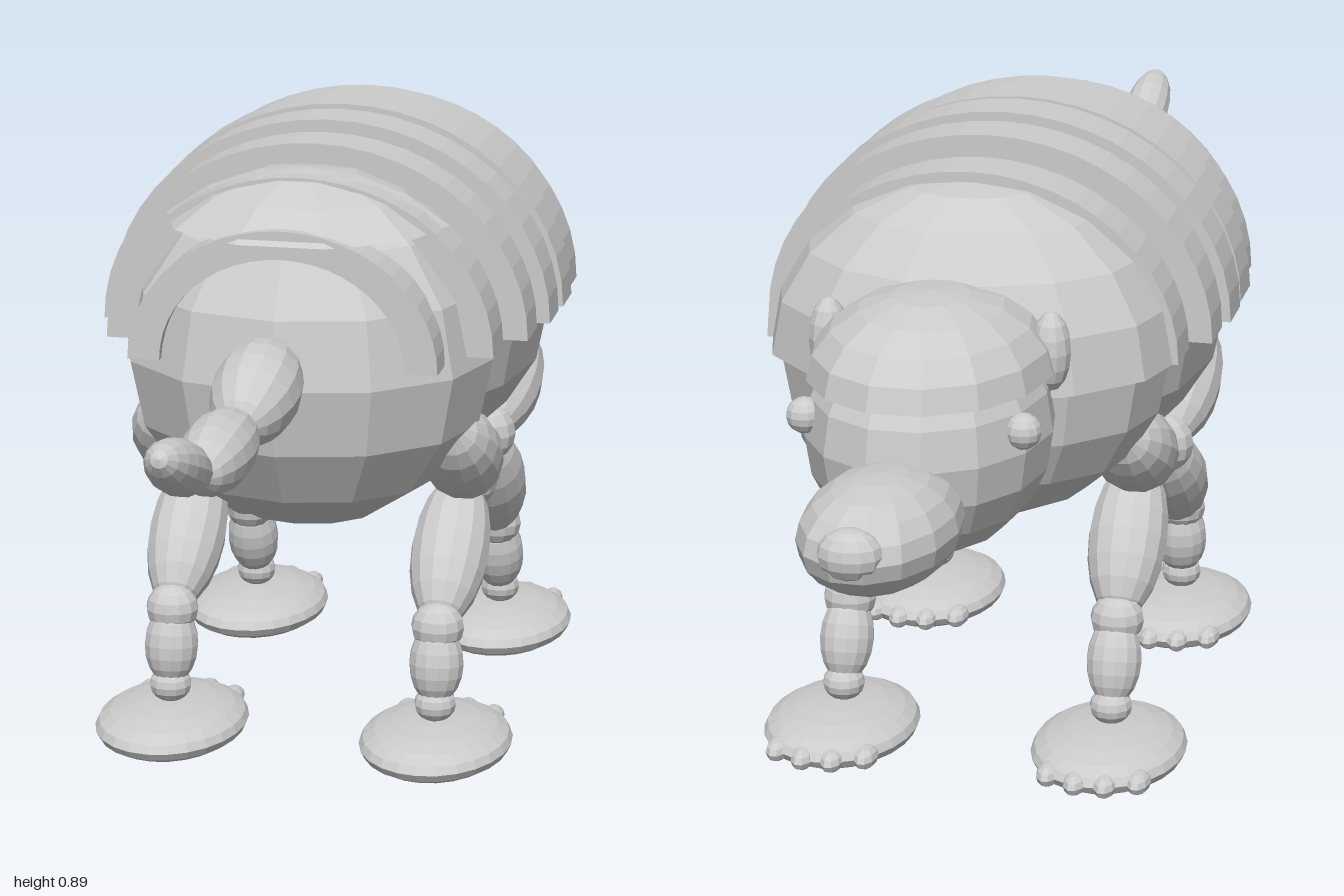
import * as THREE from 'three';

export function createModel() {
  const model = new THREE.Group();
  model.name = 'armadillo';
  const grey = new THREE.MeshStandardMaterial({ color: 0xcccccc, flatShading: true, side: THREE.DoubleSide });
  grey.name = 'light grey';

  const add = (name, geo, pos, scale = [1, 1, 1]) => {
    const mesh = new THREE.Mesh(geo, grey);
    mesh.name = name;
    mesh.position.set(...pos);
    mesh.scale.set(...scale);
    model.add(mesh);
    return mesh;
  };
  const ellipsoid = (name, pos, radii, w = 16, h = 10) =>
    add(name, new THREE.SphereGeometry(1, w, h), pos, radii);
  // upper part of an ellipsoid, used for shell domes
  const dome = (name, pos, radii, angle = Math.PI / 2, w = 16, h = 5) =>
    add(name, new THREE.SphereGeometry(1, w, h, 0, Math.PI * 2, 0, angle), pos, radii);
  // ellipsoid stretched between two points
  const bone = (name, a, b, r) => {
    const p = new THREE.Vector3(...a), q = new THREE.Vector3(...b);
    const d = q.clone().sub(p), half = d.length() / 2;
    const mesh = ellipsoid(name, p.add(q).multiplyScalar(0.5).toArray(), [r, half, r], 14, 10);
    mesh.quaternion.setFromUnitVectors(new THREE.Vector3(0, 1, 0), d.normalize());
    return mesh;
  };

  // body
  ellipsoid('hips', [0, 0.59, 0.17], [0.262, 0.248, 0.235], 12, 8);
  ellipsoid('belly', [0, 0.605, -0.06], [0.3, 0.24, 0.42], 16, 10);
  ellipsoid('shoulders', [0, 0.605, -0.32], [0.27, 0.23, 0.22], 14, 10);
  dome('shoulderShield', [0, 0.61, -0.32], [0.285, 0.24, 0.228], Math.PI / 2, 14, 5);
  dome('rumpShield', [0, 0.61, 0.18], [0.28, 0.243, 0.252], 0.8, 10, 3);

  // shell bands: [z, half width]
  const bands = [[-0.302, 0.287], [-0.2, 0.315], [-0.1, 0.323], [0, 0.32],
    [0.1, 0.305], [0.2, 0.274], [0.305, 0.216]];
  for (const [z, r] of bands) {
    const arch = new THREE.Shape();
    arch.absarc(0, 0, r, 0, Math.PI, false);
    arch.absarc(0, 0, r - 0.045, Math.PI, 0, true);
    arch.closePath();
    const geo = new THREE.ExtrudeGeometry(arch, { depth: 0.078, bevelEnabled: false, curveSegments: 12 });
    geo.translate(0, 0, -0.039);
    add('shellBand', geo, [0, 0.61, z], [1, 0.875, 1]);
  }

  // head
  ellipsoid('head', [0, 0.58, -0.56], [0.163, 0.17, 0.205], 14, 10);
  dome('headShield', [0, 0.655, -0.555], [0.162, 0.106, 0.203], Math.PI / 2, 14, 5);
  ellipsoid('snout', [0, 0.53, -0.82], [0.1, 0.072, 0.175], 14, 10).rotation.x = 0.05;
  ellipsoid('nose', [0, 0.548, -0.967], [0.042, 0.034, 0.033], 12, 8);

  // tail
  bone('tailBase', [0, 0.64, 0.385], [0, 0.59, 0.59], 0.06);
  bone('tailMiddle', [0, 0.6, 0.588], [0, 0.59, 0.81], 0.048);
  bone('tailTip', [0, 0.595, 0.805], [0, 0.673, 0.998], 0.036);

  // leg joints from hip to ankle as [y, z]
  const legs = {
    rear: { joints: [[0.5, 0.21], [0.37, 0.02], [0.205, 0.205], [0.095, 0.22]], foot: 0.212 },
    front: { joints: [[0.5, -0.335], [0.395, -0.13], [0.21, -0.275], [0.095, -0.315]], foot: -0.325 },
  };
  for (const s of [-1, 1]) {
    ellipsoid('ear', [s * 0.15, 0.675, -0.515], [0.027, 0.054, 0.03], 12, 8);
    ellipsoid('eye', [s * 0.145, 0.612, -0.655], [0.024, 0.024, 0.024], 12, 8);
    for (const [name, { joints, foot }] of Object.entries(legs)) {
      const x = s * 0.193;
      const [hip, knee, ankle, heel] = joints;
      bone(name + 'Thigh', [s * 0.21, ...hip], [s * 0.205, ...knee], 0.06);
      ellipsoid(name + 'Knee', [s * 0.2, ...knee], [0.045, 0.045, 0.045], 12, 8);
      bone(name + 'Shin', [x, ...knee], [x, ...ankle], 0.056);
      ellipsoid(name + 'Ankle', [x, ...ankle], [0.038, 0.036, 0.036], 12, 8);
      bone(name + 'LowerLeg', [x, ankle[0] + 0.005, ankle[1]], [x, ...heel], 0.039);
      ellipsoid(name + 'Heel', [x, ...heel], [0.03, 0.026, 0.03], 12, 8);
      ellipsoid(name + 'Foot', [x, 0.038, foot], [0.108, 0.036, 0.147], 24, 10);
      // toes along the leading edge of the foot
      for (let i = 0; i < 4; i++) {
        const t = (i - 1.5) * 0.042;
        ellipsoid(name + 'Toe', [x + t, 0.037, foot - 0.138 + Math.abs(t) * 0.5], [0.017, 0.016, 0.033], 10, 6);
      }
    }
  }
  return model;
}
